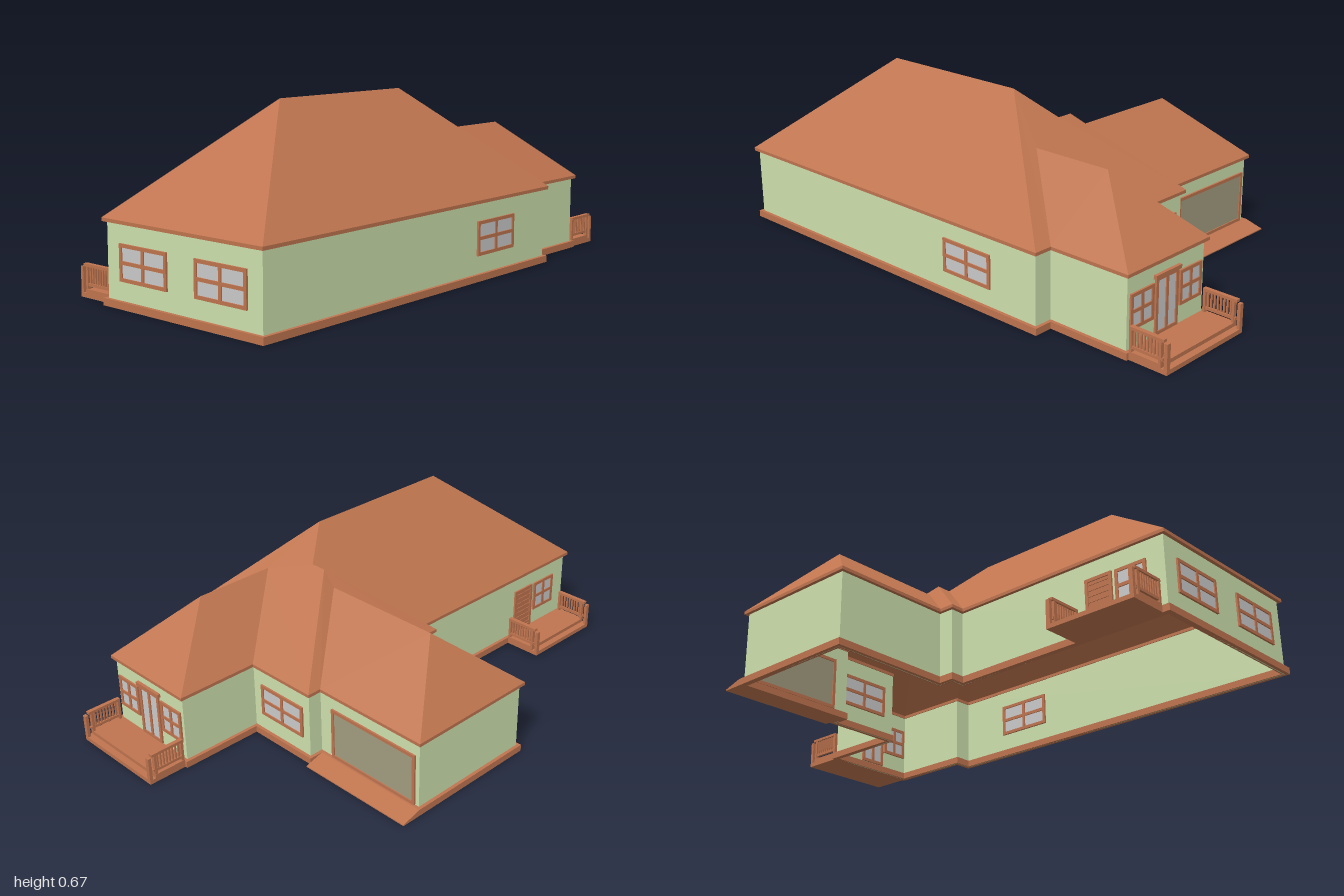
import * as THREE from 'three';

const mat = (color) => new THREE.MeshStandardMaterial({ color, side: THREE.DoubleSide, flatShading: true });
const TILE = mat(0xc0754f), WALL = mat(0xcfe2ae), GLASS = mat(0xcccccc), PANEL = mat(0xa39d80);

// eave outline as [x, z], running round the house
const OUTLINE = [
  [-0.10, 1], [0.625, 1], [0.625, -0.53], [0.555, -0.53], [0.555, -0.85], [0.14, -0.85], [0.14, -0.53],
  [-0.155, -0.53], [-0.155, -0.475], [-0.63, -0.475], [-0.63, 0.06], [-0.155, 0.06], [-0.155, 0.12], [-0.10, 0.12],
].map(([x, z]) => new THREE.Vector2(x, -z));

function add(parent, geometry, material, name) {
  const mesh = new THREE.Mesh(geometry, material);
  mesh.name = name;
  parent.add(mesh);
  return mesh;
}

function box(parent, name, material, w, h, d, x, y, z) {
  const mesh = add(parent, new THREE.BoxGeometry(w, h, d), material, name);
  mesh.position.set(x, y, z);
  return mesh;
}

// move every side of the right-angled outline inwards by d
function inset(d) {
  const n = OUTLINE.length;
  return OUTLINE.map((p, i) => {
    const a = p.clone().sub(OUTLINE[(i + n - 1) % n]).normalize();
    const b = OUTLINE[(i + 1) % n].clone().sub(p).normalize();
    return new THREE.Vector2(p.x - d * (a.y + b.y), p.y + d * (a.x + b.x));
  });
}

// hollow band that follows the outline
function band(parent, name, material, outer, inner, y0, y1) {
  const shape = new THREE.Shape(inset(outer));
  shape.holes.push(new THREE.Path(inset(inner)));
  const geometry = new THREE.ExtrudeGeometry(shape, { depth: y1 - y0, bevelEnabled: false });
  geometry.rotateX(-Math.PI / 2).translate(0, y0, 0);
  add(parent, geometry, material, name);
}

// flat roof face from [x, y, z] corners, triangulated in plan
function slope(parent, name, pts) {
  const plan = pts.map(([x, , z]) => new THREE.Vector2(x, -z));
  if (THREE.ShapeUtils.isClockWise(plan)) {
    plan.reverse();
    pts = [...pts].reverse();
  }
  const index = THREE.ShapeUtils.triangulateShape(plan, []).flat();
  const geometry = new THREE.BufferGeometry();
  geometry.setAttribute('position', new THREE.Float32BufferAttribute(pts.flat(), 3));
  geometry.setIndex(index);
  geometry.computeVertexNormals();
  add(parent, geometry, TILE, name);
}

// framed opening with bars, centred on the wall so it shows on both sides
function opening(parent, name, x, y, z, w, h, { turn = 0, cols = 2, rows = 2, fill = GLASS } = {}) {
  const g = new THREE.Group();
  g.name = name;
  g.position.set(x, y, z);
  g.rotation.y = turn;
  const t = 0.012, d = 0.018;
  box(g, 'pane', fill, w - t, h - t, 0.01, 0, 0, 0);
  for (let i = 0; i <= cols; i++)
    box(g, 'upright', TILE, t, h, d, (w - t) * (i / cols - 0.5), 0, 0);
  for (let i = 0; i <= rows; i++)
    box(g, 'crossbar', TILE, w, t, d, 0, (h - t) * (i / rows - 0.5), 0);
  parent.add(g);
  return g;
}

// porch leading out along local +z, with a railing on each side
function porch(parent, name, x, z, w, turn) {
  const g = new THREE.Group();
  g.name = name;
  g.position.set(x, 0, z);
  g.rotation.y = turn;
  box(g, 'porchFloor', TILE, w, 0.03, 0.125, 0, 0.015, 0.0625);
  box(g, 'porchStep', TILE, w, 0.016, 0.025, 0, 0.008, 0.1375);
  for (const side of [-1, 1]) {
    const rx = side * (w / 2 - 0.008);
    box(g, 'topRail', TILE, 0.016, 0.01, 0.135, rx, 0.111, 0.0675);
    box(g, 'bottomRail', TILE, 0.01, 0.01, 0.13, rx, 0.045, 0.065);
    box(g, 'wallPost', TILE, 0.014, 0.085, 0.01, rx, 0.07, 0.005);
    box(g, 'innerPost', TILE, 0.014, 0.085, 0.01, rx, 0.07, 0.12);
    box(g, 'endPost', TILE, 0.016, 0.095, 0.012, rx, 0.0575, 0.144);
    for (let i = 1; i <= 8; i++)
      box(g, 'baluster', TILE, 0.006, 0.06, 0.006, rx, 0.077, 0.005 + i * 0.0128);
  }
  parent.add(g);
}

export function createModel() {
  const house = new THREE.Group();
  house.name = 'house';

  // walls, plinth and eaves
  band(house, 'walls', WALL, 0.013, 0.017, 0.0, 0.289);
  band(house, 'plinth', TILE, 0, 0.022, 0, 0.025);
  band(house, 'eaves', TILE, 0, 0.02, 0.278, 0.29);

  // roof: ridge ends and valley tops
  const roof = new THREE.Group();
  roof.name = 'roof';
  house.add(roof);
  const e = (x, z) => [x, 0.29, z];
  const mainFront = [0.262, 0.665, 0.545], mainBack = [0.262, 0.665, -0.08];
  const crossEnd = [0.105, 0.565, -0.205], crossValley = [0.166, 0.565, -0.205];
  const garageEnd = [-0.42, 0.51, -0.205], garageValley = [0.055, 0.51, -0.205];
  const rearEnd = [0.345, 0.51, -0.585], rearValley = [0.345, 0.51, -0.268];

  slope(roof, 'mainFrontSlope', [e(-0.10, 1), e(0.625, 1), mainFront]);
  slope(roof, 'mainLeftSlope', [e(0.625, 1), e(0.625, -0.53), mainBack, mainFront]);
  slope(roof, 'mainRightSlope', [e(-0.10, 1), mainFront, mainBack, crossValley, e(-0.10, 0.12)]);
  slope(roof, 'mainBackSlope', [e(0.625, -0.53), e(0.555, -0.53), rearValley, e(0.14, -0.53),
    e(-0.155, -0.53), crossEnd, crossValley, mainBack]);
  slope(roof, 'crossFrontSlope', [e(-0.155, 0.12), e(-0.10, 0.12), crossValley, crossEnd]);
  slope(roof, 'crossEndSlope', [e(-0.155, 0.12), e(-0.155, 0.06), garageValley, e(-0.155, -0.475),
    e(-0.155, -0.53), crossEnd]);
  slope(roof, 'garageFrontSlope', [e(-0.63, 0.06), e(-0.155, 0.06), garageValley, garageEnd]);
  slope(roof, 'garageBackSlope', [e(-0.63, -0.475), e(-0.155, -0.475), garageValley, garageEnd]);
  slope(roof, 'garageEndSlope', [e(-0.63, 0.06), e(-0.63, -0.475), garageEnd]);
  slope(roof, 'rearEndSlope', [e(0.14, -0.85), e(0.555, -0.85), rearEnd]);
  slope(roof, 'rearLeftSlope', [e(0.555, -0.85), e(0.555, -0.53), rearValley, rearEnd]);
  slope(roof, 'rearRightSlope', [e(0.14, -0.85), e(0.14, -0.53), rearValley, rearEnd]);

  // windows
  const side = Math.PI / 2;
  opening(house, 'frontWindow', 0.089, 0.152, 0.985, 0.224, 0.124);
  opening(house, 'frontWindow', 0.439, 0.152, 0.985, 0.224, 0.124);
  opening(house, 'sideWindow', 0.61, 0.152, -0.198, 0.226, 0.124, { turn: side });
  opening(house, 'backWindow', 0.0, 0.152, -0.515, 0.22, 0.124);
  opening(house, 'rearWindow', 0.472, 0.152, -0.835, 0.115, 0.124);
  opening(house, 'rearWindow', 0.224, 0.152, -0.835, 0.115, 0.124);
  opening(house, 'porchWindow', -0.085, 0.152, 0.855, 0.124, 0.124, { turn: side });

  // doors
  opening(house, 'rearDoor', 0.348, 0.128, -0.835, 0.115, 0.2, { rows: 1 });
  box(house, 'rearDoorLintel', TILE, 0.13, 0.014, 0.024, 0.348, 0.232, -0.837);
  const frontDoor = opening(house, 'frontDoor', -0.085, 0.122, 0.725, 0.11, 0.19, { turn: side, cols: 1, rows: 1, fill: TILE });
  for (let i = 1; i < 9; i++)
    box(frontDoor, 'doorSlat', TILE, 0.09, 0.006, 0.015, 0, -0.095 + i * 0.021, 0);
  opening(house, 'garageDoor', -0.4, 0.125, -0.46, 0.4, 0.2, { cols: 1, rows: 1, fill: PANEL });

  // garage ramp: wedge sloping down to the ground
  const wedge = new THREE.Shape([[0, 0], [0.075, 0], [0.075, 0.004], [0, 0.025]].map((p) => new THREE.Vector2(...p)));
  const ramp = add(house, new THREE.ExtrudeGeometry(wedge, { depth: 0.475, bevelEnabled: false }), TILE, 'garageRamp');
  ramp.rotation.y = Math.PI / 2;
  ramp.position.set(-0.63, 0, -0.475);

  // porches
  porch(house, 'rearPorch', 0.348, -0.85, 0.395, Math.PI);
  porch(house, 'frontPorch', -0.10, 0.8, 0.345, -Math.PI / 2);

  return house;
}
